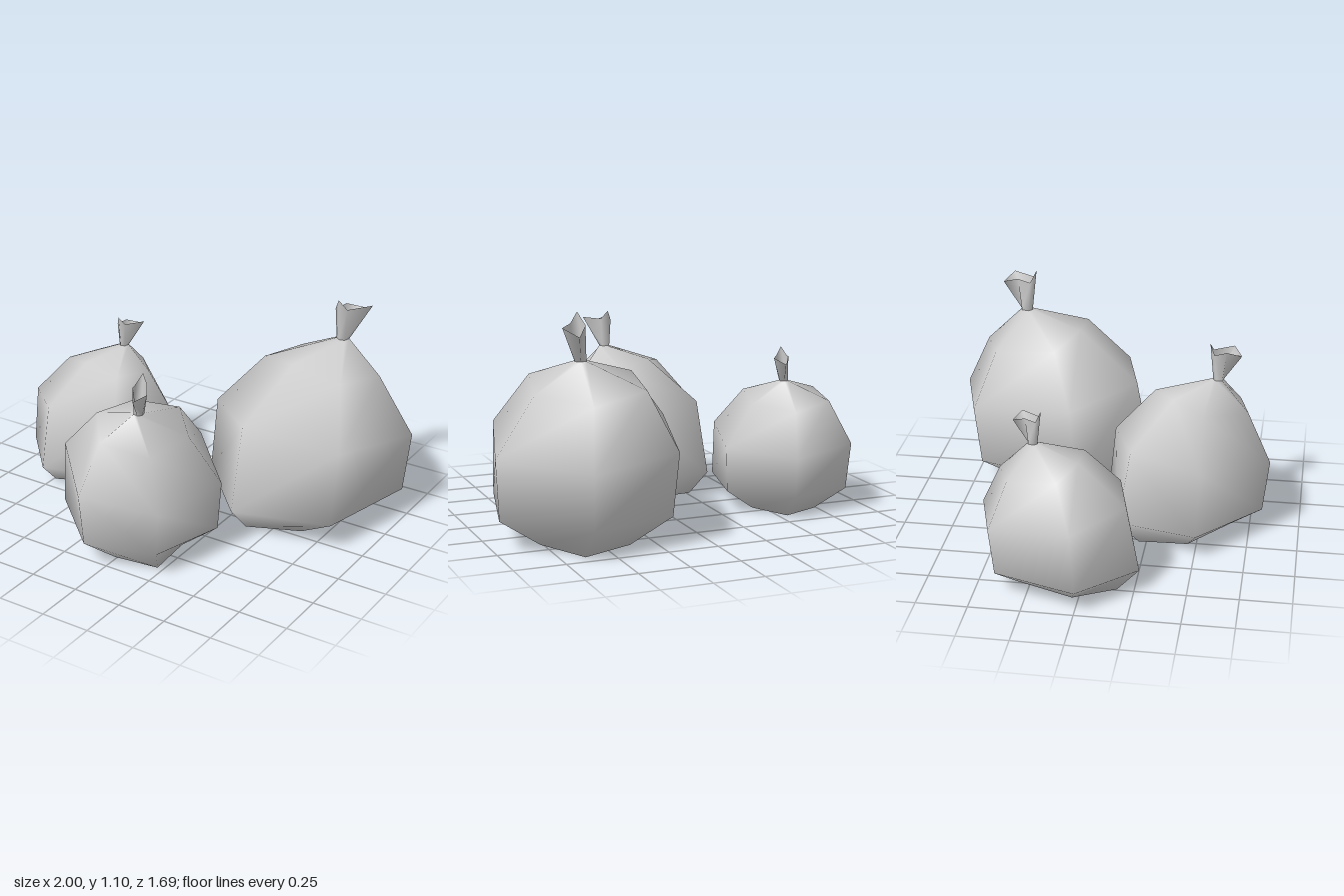
import * as THREE from 'three';

const SIDES = 6;
const NECK = [0.075, 0.88, -0.175];

// Cross-sections of the sack from the floor up, [x, y, z] about its own centre
const sackRings = [
  [[-0.14, 0, -0.24], [0.12, 0, -0.35], [0.25, 0, -0.08], [0.12, 0, 0.28], [-0.14, 0, 0.39], [-0.28, 0, 0.125]],
  [[-0.31, 0.15, -0.36], [0.12, 0.15, -0.47], [0.465, 0.15, -0.14], [0.337, 0.15, 0.39], [-0.143, 0.15, 0.53], [-0.483, 0.15, 0.17]],
  [[-0.33, 0.46, -0.39], [0.137, 0.42, -0.52], [0.487, 0.45, -0.17], [0.345, 0.52, 0.345], [-0.136, 0.58, 0.446], [-0.465, 0.53, 0.14]],
  [[-0.21, 0.74, -0.29], [0.087, 0.70, -0.39], [0.295, 0.73, -0.16], [0.227, 0.78, 0.13], [-0.04, 0.82, 0.13], [-0.255, 0.78, 0.03]],
];
// Flared rim of the tied end, relative to the neck
const rim = [[-0.01, 0.17, -0.045], [0.05, 0.13, -0.135], [0.115, 0.17, -0.085], [0.035, 0.17, 0.035], [-0.005, 0.22, 0.055], [-0.035, 0.16, 0.025]];

// Small hexagon where the sack is gathered
const neckRing = [-130, -75, -19, 48, 105, 160].map((deg) => {
  const a = THREE.MathUtils.degToRad(deg);
  return [0.032 * Math.cos(a), 0, 0.032 * Math.sin(a)];
});

// Joins matching rings into a smooth skin; flip reverses the winding for mirrored sacks
function loft(rings, flip) {
  const index = [];
  for (let i = 0; i < rings.length - 1; i++) {
    for (let j = 0; j < SIDES; j++) {
      const k = (j + 1) % SIDES;
      const a = i * SIDES + j, b = i * SIDES + k;
      const c = a + SIDES, d = b + SIDES;
      if (flip) index.push(a, b, c, b, d, c);
      else index.push(a, c, b, b, c, d);
    }
  }
  return finish(rings.flat(), index);
}

// Flat polygon closing the underside
function cap(ring, flip) {
  const index = [];
  for (let j = 1; j < SIDES - 1; j++) {
    if (flip) index.push(0, j + 1, j);
    else index.push(0, j, j + 1);
  }
  return finish(ring, index);
}

function finish(points, index) {
  const geometry = new THREE.BufferGeometry();
  geometry.setAttribute('position', new THREE.Float32BufferAttribute(points.flat(), 3));
  geometry.setIndex(index);
  geometry.computeVertexNormals();
  return geometry;
}

function makeSack({ name, x, z, width, height, turn = 0, mirror = false, neck = [NECK[0], NECK[2]] }) {
  const s = mirror ? -1 : 1;
  const cos = Math.cos(turn), sin = Math.sin(turn);
  const placeBody = ([px, py, pz]) => [
    (px * cos - pz * sin) * width,
    py * height,
    (px * sin + pz * cos) * width * s,
  ];
  const placeTie = ([px, py, pz]) => [
    (neck[0] + px) * width,
    (NECK[1] + py) * height,
    (neck[1] + pz) * width * s,
  ];

  const rings = sackRings.map((ring) => ring.map(placeBody));
  const gathered = neckRing.map(placeTie);
  const grey = new THREE.MeshStandardMaterial({ color: 0xcccccc });
  const open = new THREE.MeshStandardMaterial({ color: 0xcccccc, side: THREE.DoubleSide });

  const group = new THREE.Group();
  group.name = name;
  const add = (part, geometry, material) => {
    const mesh = new THREE.Mesh(geometry, material);
    mesh.name = part;
    group.add(mesh);
  };
  add('sackBody', loft([...rings, gathered], mirror), grey);
  add('sackBase', cap(rings[0], mirror), grey);
  add('tiedEnd', loft([gathered, rim.map(placeTie)], mirror), open);
  group.position.set(x, 0, z);
  return group;
}

export function createModel() {
  const model = new THREE.Group();
  model.name = 'tiedSacks';
  model.add(
    makeSack({ name: 'largeSack', x: 0.513, z: -0.33, width: 1, height: 1 }),
    makeSack({ name: 'smallSack', x: -0.635, z: -0.125, width: 0.753, height: 0.755 }),
    makeSack({
      name: 'mediumSack', x: -0.01, z: 0.43, width: 0.82, height: 0.864,
      turn: Math.PI / 6, mirror: true, neck: [0.105, -0.16],
    }),
  );
  return model;
}
